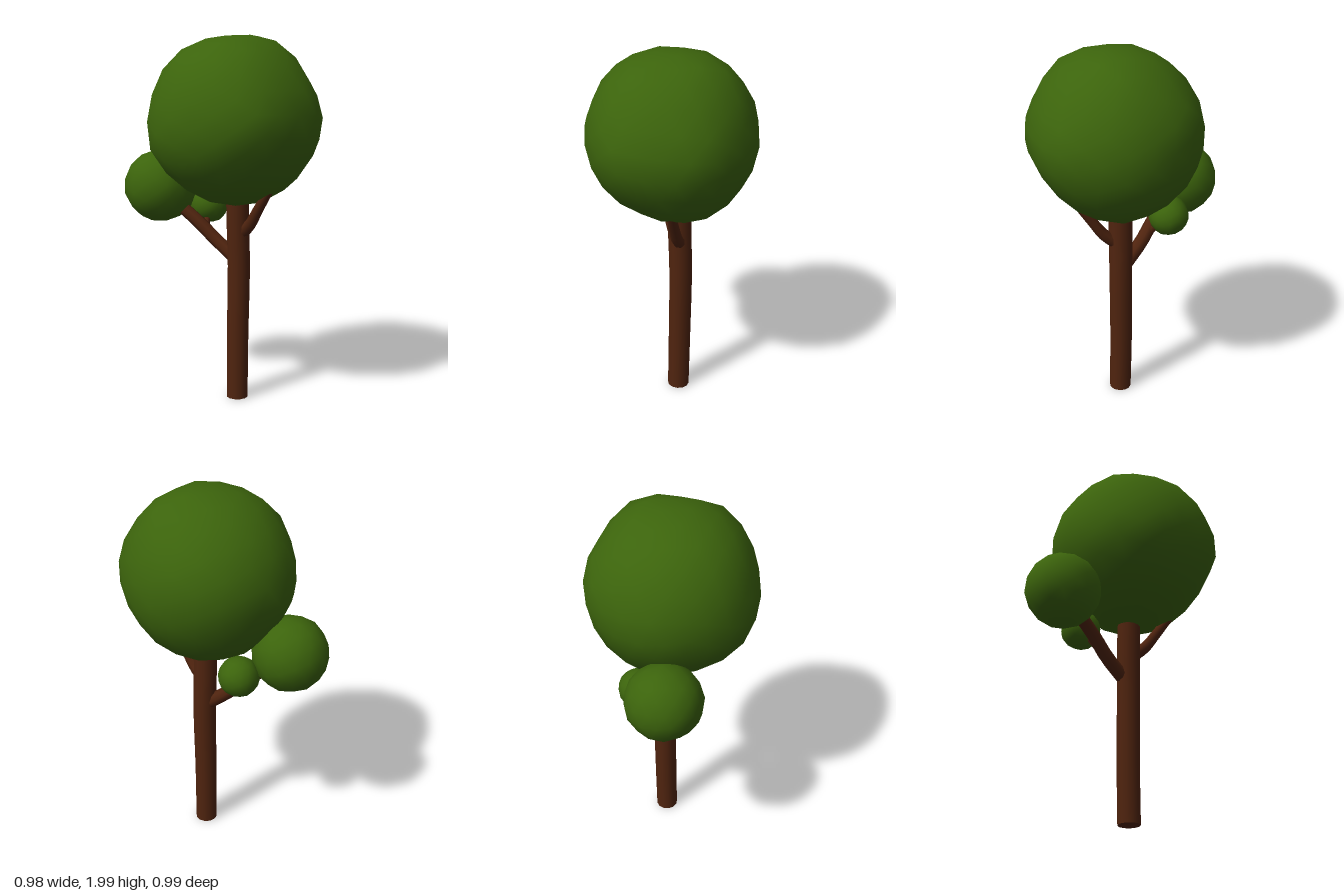
import * as THREE from 'three';
import { mergeVertices } from 'three/addons/utils/BufferGeometryUtils.js';

const leafMat = new THREE.MeshStandardMaterial({ name: 'leaf green', color: 0x3c640c });
const barkMat = new THREE.MeshStandardMaterial({ name: 'bark brown', color: 0x50240f });
const UP = new THREE.Vector3(0, 1, 0);

function seeded(seed) {
  return () => {
    seed = (seed * 16807) % 2147483647;
    return seed / 2147483647;
  };
}

// Smooth ball of leaves, slightly uneven, with swellings or dents [x, y, z, height]
function foliage(name, center, radius, detail, jitter, seed, lumps = []) {
  let geo = new THREE.IcosahedronGeometry(1, detail);
  geo.deleteAttribute('uv');
  geo.deleteAttribute('normal');
  geo = mergeVertices(geo, 1e-4);
  geo.rotateX(0.4).rotateZ(0.3);
  const rand = seeded(seed);
  const bumps = lumps.map(([x, y, z, h]) => ({ dir: new THREE.Vector3(x, y, z).normalize(), h }));
  const pos = geo.attributes.position;
  const v = new THREE.Vector3();
  for (let i = 0; i < pos.count; i++) {
    v.fromBufferAttribute(pos, i);
    let r = radius * (1 + (rand() - 0.5) * jitter);
    for (const b of bumps) r += b.h * Math.exp(-15 * (1 - v.dot(b.dir)));
    pos.setXYZ(i, v.x * r, v.y * r, v.z * r);
  }
  geo.translate(...center);
  geo.computeVertexNormals();
  const mesh = new THREE.Mesh(geo, leafMat);
  mesh.name = name;
  return mesh;
}

// Capped tapering limb that follows a curve through the points
function limb(name, points, r0, r1, sides) {
  const curve = new THREE.CatmullRomCurve3(points.map(p => new THREE.Vector3(...p)));
  const geo = new THREE.CylinderGeometry(1, 1, 1, sides, points.length * 2);
  const pos = geo.attributes.position;
  const nor = geo.attributes.normal;
  const v = new THREE.Vector3();
  const q = new THREE.Quaternion();
  for (let i = 0; i < pos.count; i++) {
    const t = THREE.MathUtils.clamp(pos.getY(i) + 0.5, 0, 1);
    const r = THREE.MathUtils.lerp(r0, r1, t);
    q.setFromUnitVectors(UP, curve.getTangentAt(t));
    v.set(pos.getX(i) * r, 0, pos.getZ(i) * r).applyQuaternion(q).add(curve.getPointAt(t));
    pos.setXYZ(i, v.x, v.y, v.z);
    v.fromBufferAttribute(nor, i).applyQuaternion(q);
    nor.setXYZ(i, v.x, v.y, v.z);
  }
  const mesh = new THREE.Mesh(geo, barkMat);
  mesh.name = name;
  return mesh;
}

export function createModel() {
  const tree = new THREE.Group();
  tree.name = 'tree';

  // Trunk and branches
  tree.add(
    limb('trunk', [[0.07, 0.004, -0.003], [0.073, 0.35, -0.008], [0.079, 0.75, -0.007],
      [0.072, 1.0, -0.005], [0.068, 1.25, -0.003]], 0.06, 0.064, 12),
    limb('backBranch', [[0.06, 0.8, -0.03], [-0.03, 0.895, -0.11], [-0.11, 0.985, -0.165],
      [-0.23, 1.1, -0.25]], 0.038, 0.035, 8),
    limb('backTwig', [[-0.07, 0.93, -0.15], [-0.055, 0.98, -0.185], [-0.025, 1.06, -0.25]], 0.02, 0.018, 8),
    limb('frontBranch', [[0.092, 0.95, 0.025], [0.115, 1.0, 0.08], [0.14, 1.09, 0.14],
      [0.178, 1.21, 0.215]], 0.034, 0.024, 8)
  );

  // Crown with its swellings, then the two lower tufts
  tree.add(
    foliage('crown', [0.04, 1.55, 0.02], 0.447, 3, 0.018, 71, [
      [0.26, 0.41, -0.05, 0.03], [-0.05, 0.36, 0.33, 0.028], [0.39, 0.02, 0.28, 0.03],
      [0, 0, 1, 0.028], [-0.46, -0.12, 0.07, 0.024], [0.22, -0.42, 0, 0.018],
      [0.14, 0.1, -0.45, 0.018], [-0.27, 0, -0.38, 0.018], [0, -0.38, -0.27, 0.016],
      [-0.3, 0.34, 0, 0.014], [0, -0.28, 0.32, -0.018], [-0.24, -0.37, 0, -0.008]
    ]),
    foliage('largeTuft', [-0.287, 1.172, -0.3], 0.202, 2, 0.025, 37),
    foliage('smallTuft', [-0.02, 1.065, -0.255], 0.108, 2, 0.025, 55)
  );
  return tree;
}
